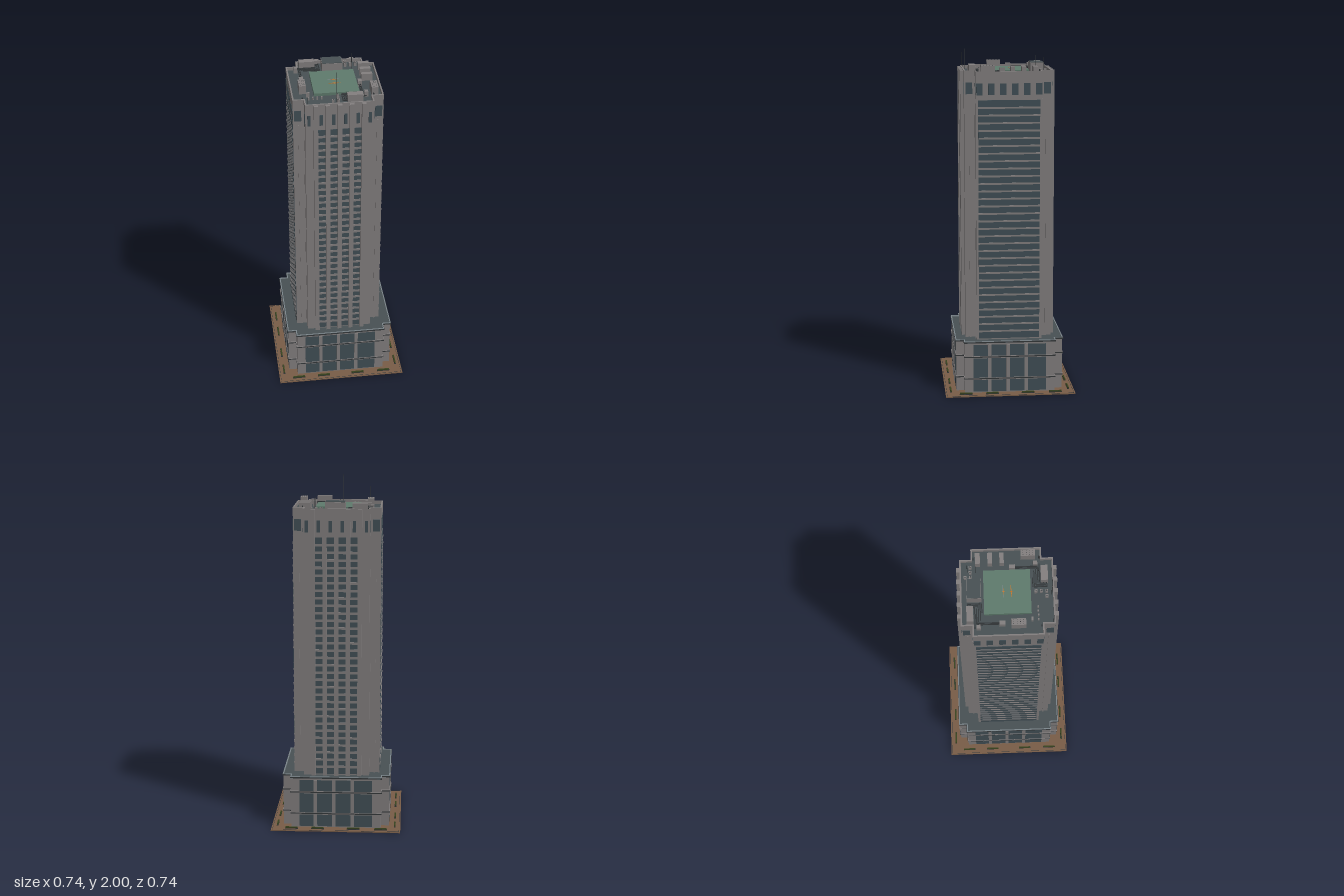
import * as THREE from 'three';

const mat = (name, color) => {
  const m = new THREE.MeshStandardMaterial({ color });
  m.name = name;
  return m;
};

export function createModel() {
  const wall = mat('warm grey stone', 0x848080);
  const deck = mat('slate roofing', 0x485154);
  const glass = mat('dark glass', 0x425057);
  const trim = mat('blue grey trim', 0x7d878d);
  const dark = mat('charcoal metal', 0x34383a);
  const paving = mat('brown paving', 0x795d47);
  const pad = mat('green pad', 0x5f7b6d);
  const leaf = mat('hedge green', 0x38441f);
  const paint = mat('orange paint', 0xc87a30);

  const model = new THREE.Group();
  model.name = 'officeTower';

  const group = (name, parent = model) => {
    const g = new THREE.Group();
    g.name = name;
    parent.add(g);
    return g;
  };
  // Box given by its minimum and maximum on each axis
  const box = (parent, name, m, x0, x1, y0, y1, z0, z1) => {
    const mesh = new THREE.Mesh(new THREE.BoxGeometry(x1 - x0, y1 - y0, z1 - z0), m);
    mesh.position.set((x0 + x1) / 2, (y0 + y1) / 2, (z0 + z1) / 2);
    mesh.name = name;
    parent.add(mesh);
    return mesh;
  };
  // Square outline with notched corners: a = outer half width, b = half width of each face
  const outline = (a, b) => [[a, b], [b, b], [b, a], [-b, a], [-b, b], [-a, b],
    [-a, -b], [-b, -b], [-b, -a], [b, -a], [b, -b], [a, -b]].map(p => new THREE.Vector2(...p));
  const notched = (parent, name, m, a, b, y0, y1, rim = 0) => {
    const shape = new THREE.Shape(outline(a, b));
    if (rim) shape.holes.push(new THREE.Path(outline(a - rim, b - rim)));
    const geo = new THREE.ExtrudeGeometry(shape, { depth: y1 - y0, bevelEnabled: false });
    const mesh = new THREE.Mesh(geo.rotateX(-Math.PI / 2), m);
    mesh.position.y = y0;
    mesh.name = name;
    parent.add(mesh);
  };
  // Four copies facing front, left, back and right; local +z points outwards
  const fourSides = (name, build) => {
    for (let i = 0; i < 4; i++) {
      const g = group(name);
      g.rotation.y = i * Math.PI / 2;
      build(g, i);
    }
  };

  // Plaza with curb line and hedges
  box(model, 'plaza', paving, -0.368, 0.368, 0, 0.005, -0.368, 0.368);
  fourSides('plazaEdge', g => {
    box(g, 'curbLine', dark, -0.361, 0.361, 0.004, 0.006, 0.3595, 0.361);
    for (const x of [-0.252, -0.103, 0.1, 0.256]) {
      box(g, 'planter', dark, x - 0.037, x + 0.037, 0.004, 0.009, 0.331, 0.341);
      box(g, 'hedge', leaf, x - 0.035, x + 0.035, 0.009, 0.016, 0.332, 0.34);
    }
  });

  // Podium
  notched(model, 'podium', wall, 0.303, 0.256, 0.005, 0.297);
  notched(model, 'podiumRoof', deck, 0.302, 0.255, 0.297, 0.3);
  notched(model, 'podiumRim', trim, 0.307, 0.26, 0.295, 0.306, 0.006);
  notched(model, 'podiumCornice', dark, 0.309, 0.262, 0.296, 0.303, 0.003);
  for (const [y0, y1] of [[0.08, 0.092], [0.207, 0.22]]) {
    notched(model, 'podiumBand', wall, 0.307, 0.26, y0, y1);
    notched(model, 'podiumBandGroove', dark, 0.308, 0.261, y0 + 0.004, y0 + 0.01);
  }
  fourSides('podiumFace', g => {
    box(g, 'podiumGlazing', glass, -0.208, 0.206, 0.01, 0.285, 0.3, 0.304);
    for (const x of [-0.117, -0.012, 0.093])
      box(g, 'podiumMullion', wall, x - 0.01, x + 0.01, 0.01, 0.285, 0.3, 0.307);
  });

  // Tower shaft, roof deck and parapet
  notched(model, 'towerShaft', wall, 0.245, 0.185, 0.298, 1.8);
  notched(model, 'roofDeck', deck, 0.244, 0.184, 1.8, 1.804);
  notched(model, 'parapet', wall, 0.246, 0.186, 1.795, 1.823, 0.008);

  const floors = 32, base = 0.306, top = 1.665, pitch = (top - base) / floors;
  fourSides('towerFace', (g, side) => {
    const ribbed = side % 2 === 0;
    const half = ribbed ? 0.12 : 0.172;
    box(g, 'towerGlazing', glass, -half, half, base, top, 0.243, 0.247);
    // Floor bands
    for (let i = 1; i < floors; i++) {
      const y = base + i * pitch, t = ribbed ? 0.007 : 0.005;
      box(g, 'floorBand', wall, -half, half, y - t, y + t, 0.244, 0.249);
    }
    // Vertical ribs on the front and back
    if (ribbed) {
      for (let i = -2; i <= 2; i++)
        box(g, 'rib', wall, i * 0.065 - 0.012, i * 0.065 + 0.012, 0.3, 1.82, 0.24, 0.264);
    }
    // Upper windows
    for (let i = -2.5; i <= 2.5; i++) {
      const w = ribbed ? 0.009 : 0.017, x = i * 0.066;
      box(g, 'upperWindow', glass, x - w, x + w, 1.693, 1.757, 0.243, 0.247);
    }
    // Windows in the notched corners
    for (const s of [-1, 1]) {
      const x = s * 0.219;
      box(g, 'cornerWindow', glass, x - 0.019, x + 0.019, 1.693, 1.757, 0.183, 0.187);
      box(g, 'cornerPilaster', wall, s * 0.215 - 0.004, s * 0.215 + 0.004, 0.3, 1.67, 0.183, 0.189);
    }
  });

  // Landing pad with painted marks
  const roof = group('roofEquipment');
  box(roof, 'landingPad', pad, -0.123, 0.123, 1.803, 1.82, -0.123, 0.123);
  for (const [z, m] of [[-0.022, trim], [0.02, paint]]) {
    box(roof, 'padMark', m, -0.032, 0.036, 1.82, 1.8215, z - 0.001, z + 0.001);
    box(roof, 'padMark', paint, -0.016, 0.016, 1.82, 1.822, z + 0.003, z + 0.005);
    box(roof, 'padMark', paint, -0.002, 0.002, 1.82, 1.822, z - 0.006, z + 0.007);
  }

  // Machine housings: x0, x1, z0, z1, top
  const housings = [
    [-0.172, -0.086, -0.215, -0.18, 1.85], [0.047, 0.132, 0.178, 0.215, 1.85],
    [-0.205, -0.185, -0.165, -0.143, 1.835], [0.145, 0.165, 0.14, 0.163, 1.835],
    [-0.188, -0.165, -0.045, -0.015, 1.835], [0.127, 0.147, 0.015, 0.045, 1.835],
    [-0.2, -0.163, 0.015, 0.092, 1.853], [0.185, 0.222, 0.077, 0.153, 1.853],
    [0.152, 0.213, -0.163, -0.137, 1.845], [0.152, 0.213, -0.098, -0.073, 1.845],
    [0.152, 0.213, -0.035, -0.012, 1.845], [-0.166, -0.147, 0.12, 0.13, 1.83],
  ];
  for (const [x0, x1, z0, z1, y] of housings)
    box(roof, 'machineHousing', wall, x0, x1, 1.803, y, z0, z1);
  box(roof, 'liftHouse', wall, -0.048, 0.065, 1.803, 1.855, -0.212, -0.136);
  box(roof, 'liftHouseRoof', deck, -0.046, 0.063, 1.855, 1.858, -0.21, -0.138);

  // Perforated tops of the two long cooling units
  for (const [cx, cz] of [[-0.1815, 0.0535], [0.2035, 0.115]])
    for (let i = 0; i < 12; i++) {
      const x = cx + (i % 3 - 1) * 0.01, z = cz + (Math.floor(i / 3) - 1.5) * 0.017;
      box(roof, 'coolingVent', dark, x - 0.0015, x + 0.0015, 1.852, 1.854, z - 0.0015, z + 0.0015);
    }

  // Small fans
  for (const [x, z] of [[0.087, -0.217], [0.087, -0.19], [0.115, -0.19], [0.143, -0.19],
    [-0.001, 0.15], [-0.001, 0.178], [-0.001, 0.206], [-0.03, 0.206]]) {
    box(roof, 'fanBox', wall, x - 0.007, x + 0.007, 1.803, 1.825, z - 0.007, z + 0.007);
    box(roof, 'fanSlot', dark, x - 0.005, x + 0.005, 1.824, 1.826, z - 0.001, z + 0.001);
    box(roof, 'fanSlot', dark, x - 0.001, x + 0.001, 1.824, 1.826, z - 0.005, z + 0.005);
  }
  for (const x of [-0.157, -0.133, -0.11, -0.086])
    box(roof, 'smallVent', wall, x - 0.004, x + 0.004, 1.803, 1.82, 0.154, 0.162);

  // Pipe runs, repeated half a turn round the roof
  const runs = [
    [[-0.086, -0.208], [-0.062, -0.208], [-0.062, -0.143], [-0.15, -0.143]],
    [[-0.086, -0.2], [-0.072, -0.2], [-0.072, -0.153], [-0.16, -0.153]],
    [[-0.086, -0.192], [-0.082, -0.192], [-0.082, -0.172], [-0.19, -0.172]],
    [[-0.09, -0.162], [-0.178, -0.162], [-0.178, -0.045]],
    [[-0.065, -0.135], [-0.11, -0.135]],
    [[-0.12, -0.165], [-0.17, -0.165], [-0.17, -0.045]],
  ];
  for (const turn of [0, 1]) {
    const g = group('pipework', roof);
    g.rotation.y = turn * Math.PI;
    if (turn) g.position.set(-0.038, 0, 0);
    for (const run of runs)
      for (let i = 1; i < run.length; i++) {
        const [[ax, az], [bx, bz]] = [run[i - 1], run[i]], r = 0.0025;
        box(g, 'pipe', dark, Math.min(ax, bx) - r, Math.max(ax, bx) + r, 1.814, 1.819,
          Math.min(az, bz) - r, Math.max(az, bz) + r);
      }
  }

  // Masts
  for (const [x, z, y] of [[-0.015, 0.232, 2], [-0.17, 0.235, 1.9], [0.12, -0.16, 1.9], [0.125, -0.205, 1.89]]) {
    const mast = new THREE.Mesh(new THREE.CylinderGeometry(0.001, 0.002, y - 1.8, 6), dark);
    mast.position.set(x, (y + 1.8) / 2, z);
    mast.name = 'mast';
    roof.add(mast);
  }
  // Corner lamps
  for (const x of [-0.192, 0.192])
    for (const z of [-0.192, 0.192])
      box(roof, 'cornerLamp', dark, x - 0.003, x + 0.003, 1.803, 1.83, z * 0.9 - 0.003, z * 0.9 + 0.003);

  return model;
}
